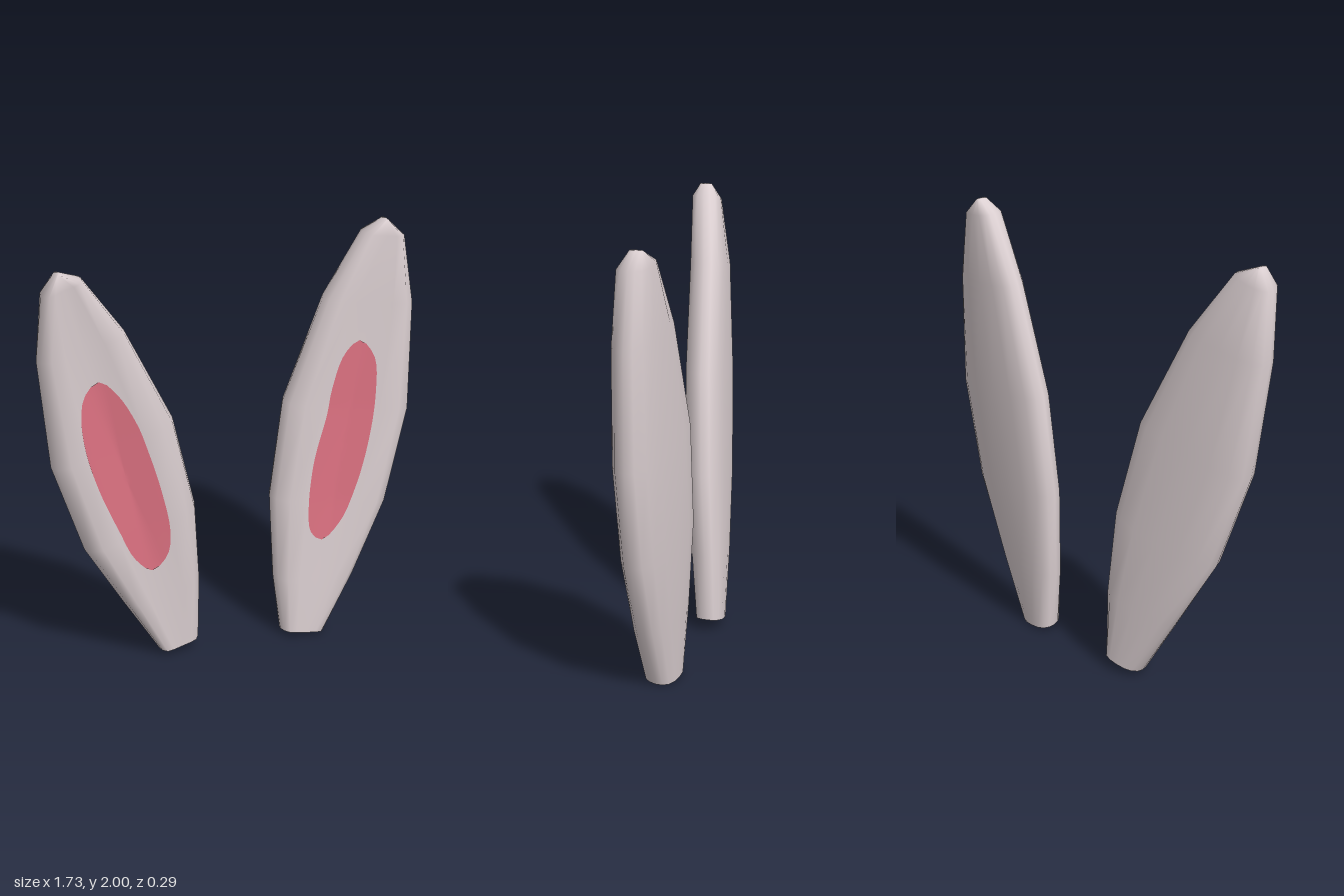
import * as THREE from 'three';

const furMaterial = new THREE.MeshStandardMaterial({ color: 0xdcd0d2, side: THREE.DoubleSide });
furMaterial.name = 'pale fur';
const pinkMaterial = new THREE.MeshStandardMaterial({ color: 0xdf7383, side: THREE.DoubleSide });
pinkMaterial.name = 'inner pink';

// Cross-section of an ear: across (-1..1) and depth, front half first
const SECTION = [
  [1, 0], [0.94, 0.52], [0.75, 0.92], [0.45, 1], [0, 1], [-0.45, 1], [-0.75, 0.92], [-0.94, 0.52],
  [-1, 0], [-0.95, -0.42], [-0.77, -0.76], [-0.45, -0.95], [0, -1], [0.45, -0.95], [0.77, -0.76], [0.95, -0.42],
];
// Half thickness to the front and back, and hollowing of the front, from the open base to the tip
const FRONT = [0.062, 0.075, 0.087, 0.09, 0.078, 0.062, 0.028];
const BACK = [0.065, 0.075, 0.085, 0.085, 0.078, 0.065, 0.028];
const DISH = [0, 0.2, 0.4, 0.45, 0.35, 0.1, 0];

// Shell lofted between the two outer edges; base is left open
function earShell(ear) {
  const n = SECTION.length;
  const positions = [];
  const index = [];
  ear.low.forEach(([x0, y0], i) => {
    const [x1, y1] = ear.high[i];
    for (const [u, v] of SECTION) {
      const t = (u + 1) / 2;
      const hollow = DISH[i] * Math.max(0, 1 - Math.abs(u) / 0.75);
      const depth = v > 0 ? (v - hollow) * FRONT[i] : v * BACK[i];
      positions.push(
        x0 + (x1 - x0) * t,
        y0 + (y1 - y0) * t + (i === 0 ? v * ear.baseTilt : 0),
        ear.z[i] + ear.yaw * u * (x1 - x0) / 2 + depth
      );
    }
  });
  for (let i = 0; i < ear.low.length - 1; i++) {
    for (let j = 0; j < n; j++) {
      const a = i * n + j;
      const b = i * n + (j + 1) % n;
      index.push(a, a + n, b, b, a + n, b + n);
    }
  }
  // Close the narrow ridge at the tip
  const top = (ear.low.length - 1) * n;
  for (let j = 1; j < n - 1; j++) index.push(top, top + j + 1, top + j);
  return finish(positions, index);
}

// Thin pink patch laid on the front of the shell
function innerPatch(shell, outline) {
  const curve = new THREE.CatmullRomCurve3(outline.map(([x, y]) => new THREE.Vector3(x, y, 0)), true);
  const count = 56;
  const rings = 10;
  const edge = curve.getSpacedPoints(count).slice(0, count);
  const centre = new THREE.Vector3();
  edge.forEach((p) => centre.addScaledVector(p, 1 / count));
  const ray = new THREE.Raycaster();
  const backward = new THREE.Vector3(0, 0, -1);
  const positions = [];
  const index = [];
  const drop = (p) => {
    ray.set(new THREE.Vector3(p.x, p.y, 2), backward);
    positions.push(p.x, p.y, ray.intersectObject(shell)[0].point.z + 0.005);
  };
  drop(centre);
  for (let r = 1; r <= rings; r++) {
    edge.forEach((p) => drop(centre.clone().lerp(p, r / rings)));
  }
  for (let j = 0; j < count; j++) {
    const k = (j + 1) % count;
    index.push(0, 1 + j, 1 + k);
    for (let r = 0; r < rings - 1; r++) {
      const a = 1 + r * count;
      const b = a + count;
      index.push(a + j, b + j, b + k, a + j, b + k, a + k);
    }
  }
  return finish(positions, index);
}

function finish(positions, index) {
  const geometry = new THREE.BufferGeometry();
  geometry.setAttribute('position', new THREE.Float32BufferAttribute(positions, 3));
  geometry.setIndex(index);
  geometry.computeVertexNormals();
  return geometry;
}

// Edge points run from base to tip: low = smaller x, high = larger x
const EARS = [
  {
    name: 'rightEar',
    low: [[-0.31, 0.025], [-0.48, 0.31], [-0.67, 0.64], [-0.815, 1.08], [-0.867, 1.59], [-0.845, 1.89], [-0.785, 1.975]],
    high: [[-0.12, 0.065], [-0.115, 0.38], [-0.14, 0.76], [-0.25, 1.21], [-0.475, 1.665], [-0.67, 1.94], [-0.765, 1.975]],
    z: [-0.08, -0.062, -0.032, 0, 0.037, 0.08, 0.09],
    yaw: -0.06,
    baseTilt: 0,
    pink: [[-0.61, 1.47], [-0.675, 1.42], [-0.695, 1.33], [-0.68, 1.17], [-0.62, 0.96], [-0.53, 0.74], [-0.45, 0.57],
      [-0.36, 0.49], [-0.295, 0.56], [-0.285, 0.68], [-0.33, 0.9], [-0.4, 1.13], [-0.44, 1.24], [-0.53, 1.4]],
  },
  {
    name: 'leftEar',
    low: [[0.28, 0.025], [0.245, 0.31], [0.23, 0.72], [0.29, 1.18], [0.465, 1.66], [0.63, 1.95], [0.72, 2]],
    high: [[0.475, 0.008], [0.615, 0.3], [0.765, 0.66], [0.862, 1.11], [0.862, 1.62], [0.81, 1.93], [0.74, 2]],
    z: [-0.017, -0.02, -0.025, -0.025, -0.012, 0, 0],
    yaw: 0.16,
    baseTilt: 0.008,
    pink: [[0.61, 1.465], [0.54, 1.41], [0.485, 1.25], [0.465, 1.13], [0.405, 0.9], [0.383, 0.66], [0.395, 0.55],
      [0.45, 0.5], [0.535, 0.59], [0.6, 0.75], [0.655, 0.97], [0.685, 1.2], [0.675, 1.39]],
  },
];

export function createModel() {
  const model = new THREE.Group();
  model.name = 'animalEars';
  for (const ear of EARS) {
    const group = new THREE.Group();
    group.name = ear.name;
    const shell = new THREE.Mesh(earShell(ear), furMaterial);
    shell.name = 'earShell';
    const patch = new THREE.Mesh(innerPatch(shell, ear.pink), pinkMaterial);
    patch.name = 'innerEar';
    group.add(shell, patch);
    model.add(group);
  }
  return model;
}
